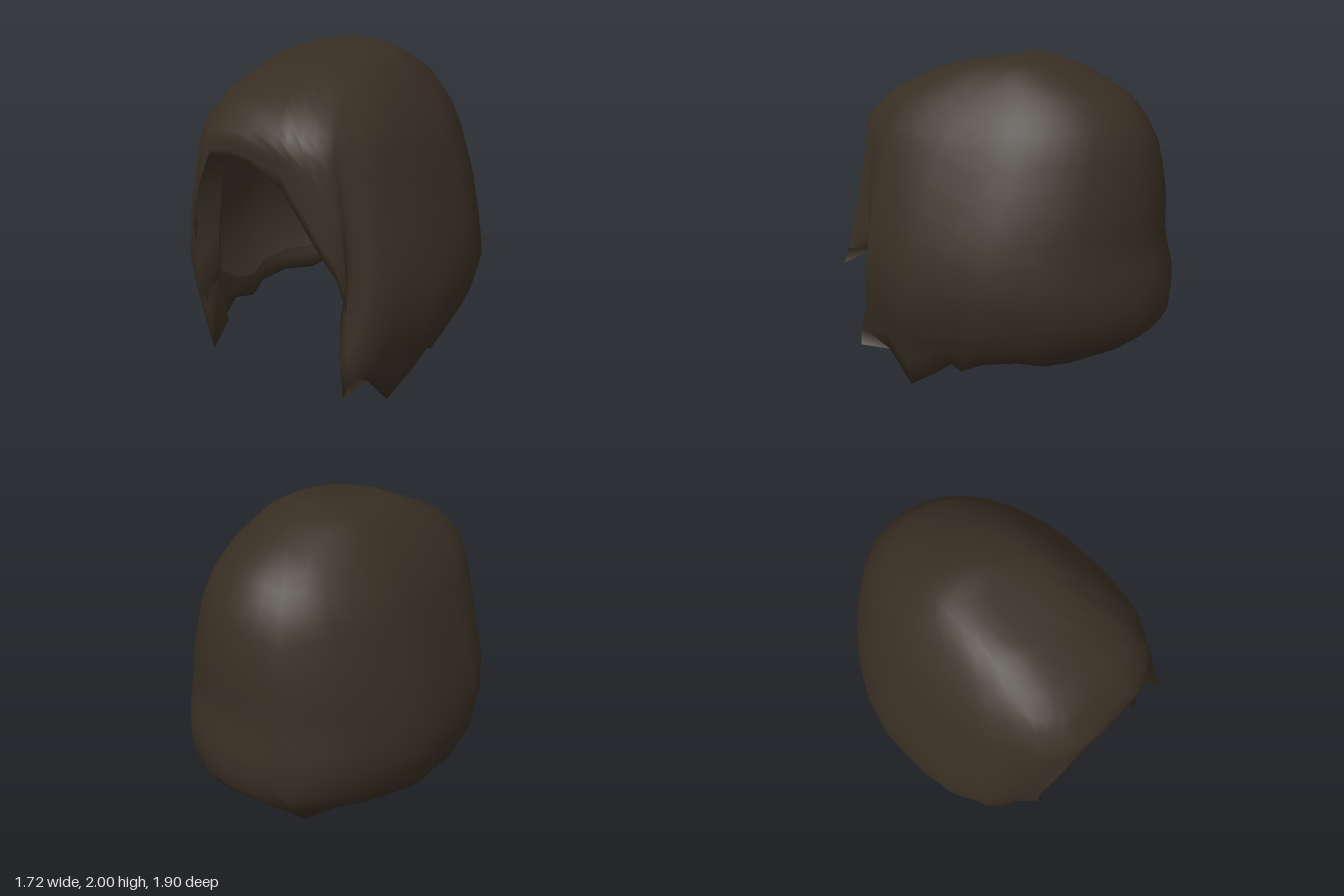
import * as THREE from 'three';
import { mergeVertices } from 'three/addons/utils/BufferGeometryUtils.js';

// Horizontal rings of the hair: [y, half width, front z, back z, centre z]
const RINGS = [
  [2.0, 0, -0.09, -0.09, -0.09], [1.965, 0.22, 0.13, -0.23, -0.05], [1.91, 0.35, 0.47, -0.38, 0],
  [1.76, 0.49, 0.81, -0.66, 0.03], [1.6, 0.6, 0.96, -0.78, 0.03], [1.45, 0.67, 0.955, -0.85, 0.04],
  [1.15, 0.775, 0.94, -0.9, 0.05], [0.9, 0.845, 0.91, -0.9, 0.08], [0.66, 0.87, 0.88, -0.97, 0.08],
  [0.43, 0.81, 0.85, -0.96, 0.08], [0.3, 0.74, 0.83, -0.83, 0.08], [0, 0.62, 0.78, -0.6, 0.08],
];

// Ragged lower edge, from the fringe round the left side, nape and right side
const RIM = [
  [0, 1.46, 0.94], [0.2, 1.35, 0.93], [0.3, 1.2, 0.92], [0.42, 1.0, 0.89], [0.5, 0.87, 0.86],
  [0.61, 0.73, 0.935], [0.52, 0.8, 0.8], [0.46, 0.58, 0.77], [0.47, 0.34, 0.79], [0.55, 0.18, 0.88],
  [0.57, 0.19, 0.66], [0.61, 0, 0.5], [0.67, 0.13, 0.3], [0.7, 0.22, 0.18], [0.69, 0.18, 0.12],
  [0.71, 0.25, -0.02], [0.68, 0.28, -0.22], [0.6, 0.25, -0.36], [0.47, 0.24, -0.48], [0.36, 0.32, -0.72],
  [0.17, 0.33, -0.8], [0, 0.33, -0.82], [-0.2, 0.33, -0.79], [-0.32, 0.18, -0.62], [-0.48, 0.28, -0.5],
  [-0.53, 0.25, -0.38], [-0.64, 0.27, -0.2], [-0.69, 0.25, 0], [-0.66, 0.2, 0.14], [-0.68, 0.24, 0.3],
  [-0.63, 0.17, 0.5], [-0.58, 0.23, 0.6], [-0.52, 0.1, 0.72], [-0.5, 0.4, 0.77], [-0.53, 0.55, 0.79],
  [-0.45, 0.53, 0.88], [-0.47, 0.75, 0.87], [-0.48, 1.0, 0.89], [-0.39, 1.24, 0.92], [-0.28, 1.46, 0.94],
  [-0.12, 1.48, 0.945],
];

const ROWS = 20;
const POWER = 0.75; // squarer front than back

// Ring values at a fractional ring index
function ringAt(level) {
  const i = Math.min(Math.floor(level), RINGS.length - 2);
  return RINGS[i].map((v, k) => THREE.MathUtils.lerp(v, RINGS[i + 1][k], level - i));
}

function levelOf(y) {
  let i = 0;
  while (i < RINGS.length - 2 && RINGS[i + 1][0] > y) i++;
  return i + (RINGS[i][0] - y) / (RINGS[i][0] - RINGS[i + 1][0]);
}

// Point on the smooth head shape
function shellPoint(angle, level) {
  const [y, w, front, back, centre] = ringAt(level);
  const s = Math.sin(angle), c = Math.cos(angle);
  const p = c > 0 ? POWER : 1;
  const x = w * Math.sign(s) * Math.abs(s) ** p;
  const z = c > 0 ? centre + (front - centre) * c ** p : centre + (centre - back) * c;
  return new THREE.Vector3(x, y, z);
}

// Angle round the head for an edge point, the inverse of shellPoint
function angleOf([x, y, z]) {
  const [, w, front, back, centre] = ringAt(levelOf(y));
  const d = z - centre;
  const p = d > 0 ? 1 / POWER : 1;
  const u = Math.sign(x) * Math.abs(x / w) ** p;
  const v = d > 0 ? (d / (front - centre)) ** p : d / (centre - back);
  const a = Math.atan2(u, v);
  return a < 0 ? a + Math.PI * 2 : a;
}

// One strand: down the outside to its tip, then folded up inside as a hem
function strand(rim, angle, crownAngle) {
  const tip = new THREE.Vector3(...rim);
  const end = levelOf(tip.y);
  const pull = tip.clone().sub(shellPoint(angle, end));
  const points = [];
  for (let j = 0; j <= ROWS; j++) {
    const t = j / ROWS;
    const a = THREE.MathUtils.lerp(crownAngle, angle, t);
    points.push(shellPoint(a, end * t).addScaledVector(pull, t ** 5));
  }
  const sideLock = tip.z > 0.4 && tip.y < 0.85;
  const height = sideLock ? 0.3 : 0.09;
  const hub = new THREE.Vector3(0, 0.9, 0);
  for (const [rise, depth] of [[0.4, 0.08], [1, 0.1]]) {
    points.push(shellPoint(angle, levelOf(tip.y + height * rise)).lerp(hub, depth));
  }
  return points;
}

function hairGeometry() {
  const positions = [], index = [];
  const columns = RIM.length;
  let angle = -1;
  RIM.forEach((rim, i) => {
    angle = Math.max(angleOf(rim), angle + 0.012);
    for (const p of strand(rim, angle, (i / columns) * Math.PI * 2)) positions.push(p.x, p.y, p.z);
  });
  const stride = positions.length / 3 / columns;
  for (let i = 0; i < columns; i++) {
    for (let j = 0; j < stride - 1; j++) {
      const a = i * stride + j, b = a + 1;
      const d = ((i + 1) % columns) * stride + j, c = d + 1;
      index.push(a, b, c);
      if (j > 0) index.push(a, c, d);
    }
  }
  const geometry = new THREE.BufferGeometry();
  geometry.setAttribute('position', new THREE.Float32BufferAttribute(positions, 3));
  geometry.setIndex(index);
  const merged = mergeVertices(geometry, 1e-4);
  merged.computeVertexNormals();
  return merged;
}

export function createModel() {
  const group = new THREE.Group();
  group.name = 'hairpiece';
  const darkBrown = new THREE.MeshStandardMaterial({ color: 0x382e23, side: THREE.DoubleSide });
  darkBrown.name = 'dark brown hair';
  const hair = new THREE.Mesh(hairGeometry(), darkBrown);
  hair.name = 'hair';
  group.add(hair);
  return group;
}
